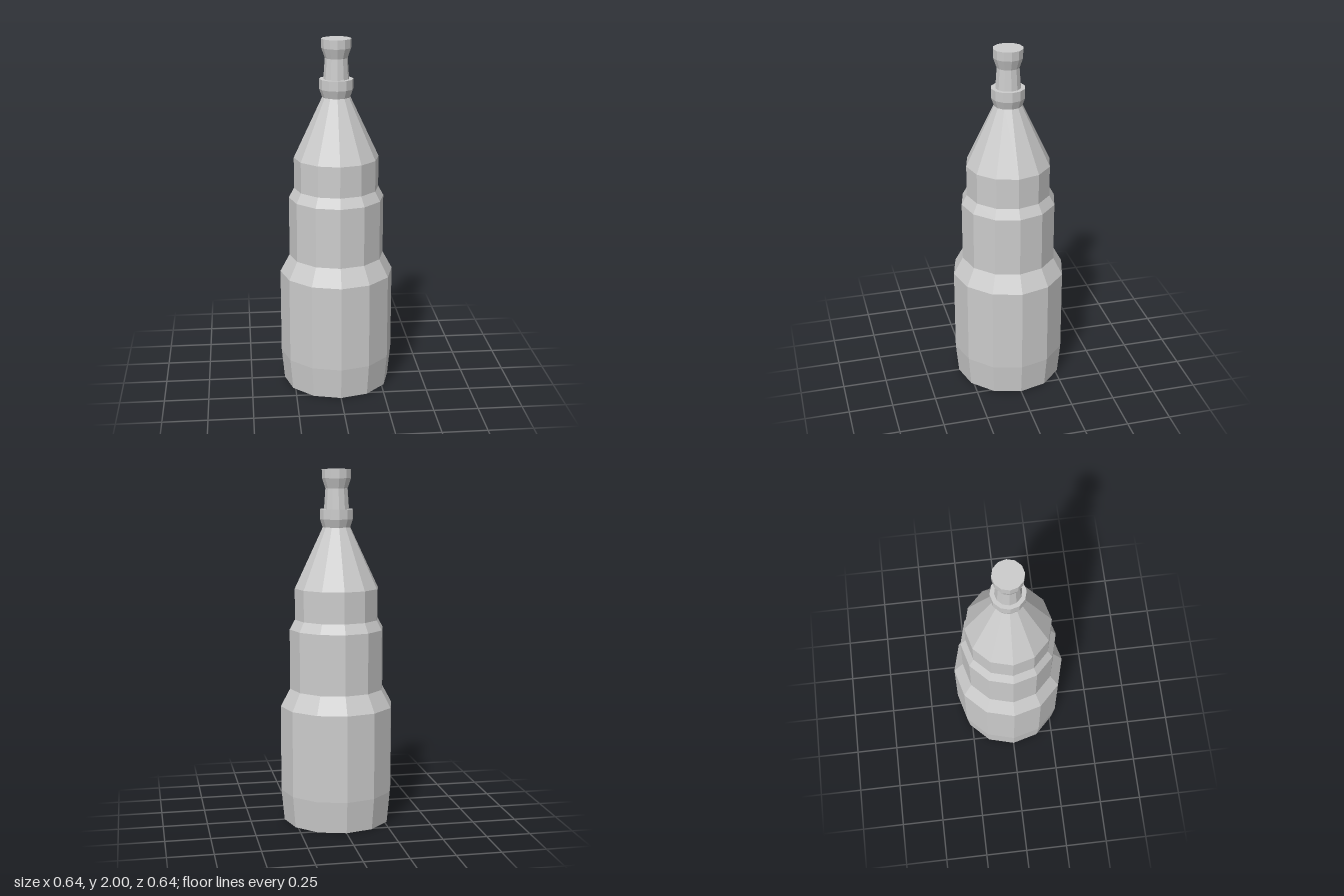
import * as THREE from 'three';

const SIDES = 12;

// Twelve-sided turned part from [radius, height] pairs, bottom to top
function turned(name, profile, material) {
  const points = profile.map(([r, y]) => new THREE.Vector2(r, y));
  const mesh = new THREE.Mesh(new THREE.LatheGeometry(points, SIDES), material);
  mesh.name = name;
  return mesh;
}

export function createModel() {
  const grey = new THREE.MeshStandardMaterial({ color: 0xcccccc, flatShading: true });
  grey.name = 'light grey';

  const group = new THREE.Group();
  group.name = 'bottle';

  // Base and tapered foot, up to the first shoulder
  group.add(turned('base', [[0, 0], [0.305, 0], [0.322, 0.18], [0.322, 0.67], [0.268, 0.77]], grey));
  // Narrower middle section
  group.add(turned('middle', [[0.268, 0.77], [0.268, 1.11], [0.238, 1.165], [0.238, 1.34]], grey));
  // Long cone narrowing to the neck
  group.add(turned('cone', [[0.238, 1.34], [0.078, 1.68]], grey));
  // Flared collar with a flat ledge
  group.add(turned('collar', [[0.078, 1.68], [0.094, 1.725], [0.094, 1.78], [0.071, 1.78]], grey));
  // Waisted neck and flared tip
  group.add(turned('tip', [[0.071, 1.78], [0.063, 1.895], [0.082, 1.95], [0.083, 2], [0, 2]], grey));

  return group;
}
